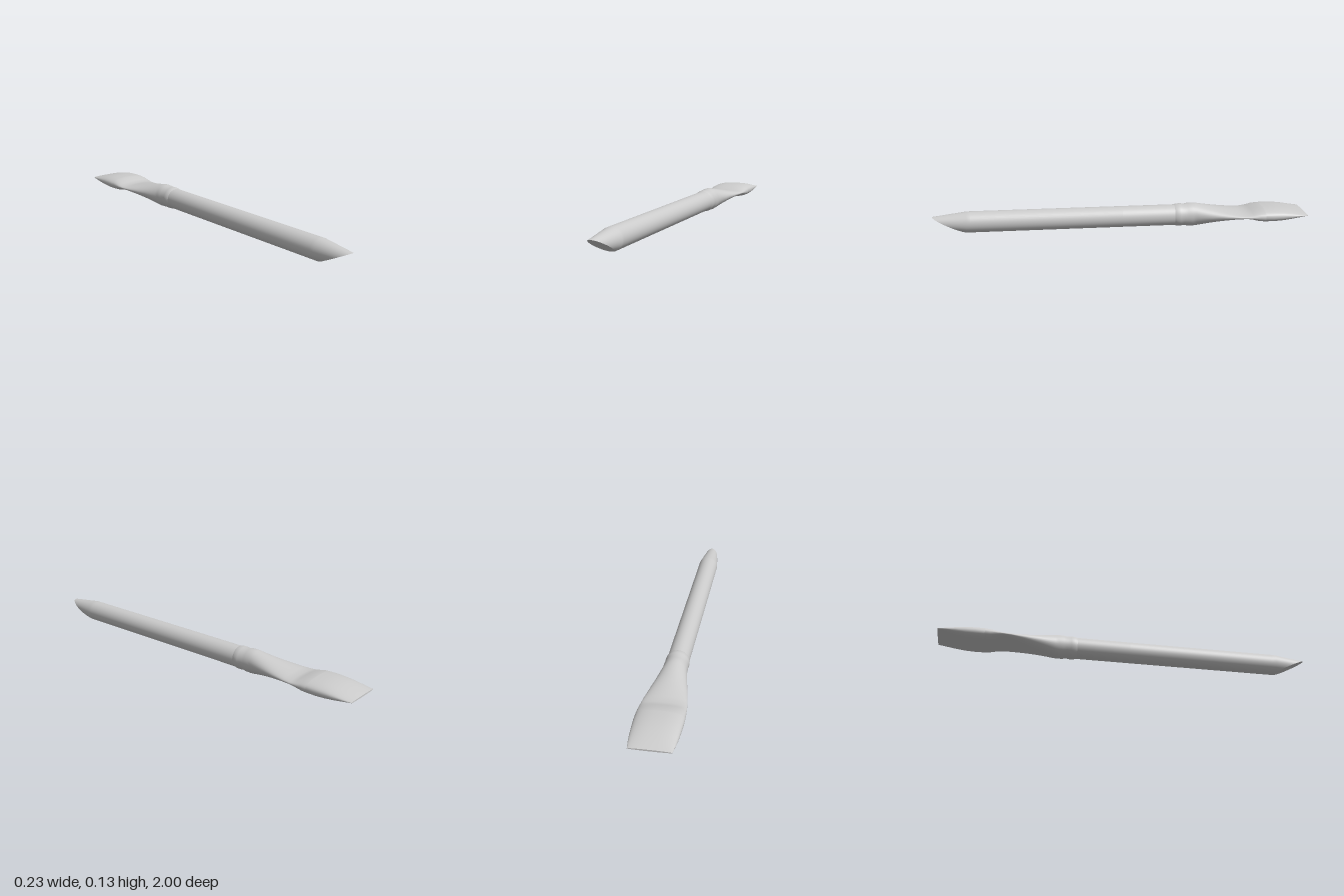
import * as THREE from 'three';

const CY = 0.063;      // height of the brush axis
const SEG = 40;        // points around each section

// Skin over rings of points running from front (+z) to back, with optional crisp end caps
function loft(rings, capFront, capBack) {
  const pos = [], idx = [];
  rings.forEach(r => r.forEach(p => pos.push(...p)));
  for (let i = 0; i < rings.length - 1; i++) {
    for (let j = 0; j < SEG; j++) {
      const k = (j + 1) % SEG;
      const a = i * SEG + j, b = i * SEG + k, c = a + SEG, d = b + SEG;
      idx.push(a, c, b, b, c, d);
    }
  }
  const cap = (ring, flip) => {
    const base = pos.length / 3;
    const mid = [0, 1, 2].map(n => ring.reduce((s, p) => s + p[n], 0) / SEG);
    ring.forEach(p => pos.push(...p));
    pos.push(...mid);
    for (let j = 0; j < SEG; j++) {
      const a = base + j, b = base + (j + 1) % SEG;
      if (flip) idx.push(base + SEG, b, a);
      else idx.push(base + SEG, a, b);
    }
  };
  if (capFront) cap(rings[0], false);
  if (capBack) cap(rings[rings.length - 1], true);
  const g = new THREE.BufferGeometry();
  g.setAttribute('position', new THREE.Float32BufferAttribute(pos, 3));
  g.setIndex(idx);
  g.computeVertexNormals();
  return g;
}

const around = fn => Array.from({ length: SEG }, (_, j) => {
  const a = (j / SEG) * Math.PI * 2;
  return fn(Math.cos(a), Math.sin(a));
});

// Superellipse section: half width w, half height h, exponent n
const section = ([z, w, h, n = 2]) => around((c, s) => [
  w * Math.sign(c) * Math.abs(c) ** (2 / n),
  CY + h * Math.sign(s) * Math.abs(s) ** (2 / n),
  z,
]);

export function createModel() {
  const group = new THREE.Group();
  const mat = new THREE.MeshStandardMaterial({ color: 0xcccccc });
  const add = (name, geo) => {
    const m = new THREE.Mesh(geo, mat);
    m.name = name;
    group.add(m);
  };

  // Handle: round rod whose tapering tip is cut by a slanted plane from below
  const R = 0.056, R1 = 0.033, Z0 = 0.82;
  const tip = around((c, s) => {
    const t = R * (1 + s) / (R + R1 + (R - R1) * s);
    const r = R - (R - R1) * t;
    return [r * c, CY + r * s, Z0 + (1 - Z0) * t];
  });
  add('handle', loft([tip, ...[Z0, 0.8, 0, -0.3].map(z => section([z, R, R]))], true, true));

  // Ferrule: two beads round the handle, then flattening and widening to a pinch
  add('ferrule', loft([
    [-0.28, 0.055, 0.055],
    [-0.295, 0.06, 0.06],
    [-0.315, 0.061, 0.061],
    [-0.335, 0.058, 0.058],
    [-0.355, 0.061, 0.062],
    [-0.38, 0.061, 0.063],
    [-0.4, 0.063, 0.061],
    [-0.48, 0.077, 0.046],
    [-0.56, 0.092, 0.032],
    [-0.63, 0.104, 0.02],
    [-0.67, 0.109, 0.015, 2.2],
    [-0.7, 0.112, 0.022, 2.3],
    [-0.735, 0.114, 0.034, 2.4],
    [-0.765, 0.115, 0.037, 2.4],
  ].map(section), true, false));

  // Bristles: flat swelling tuft that thins to a straight edge
  add('bristles', loft([
    [-0.765, 0.115, 0.037, 2.4],
    [-0.81, 0.115, 0.038, 2.4],
    [-0.86, 0.113, 0.035, 2.4],
    [-0.91, 0.11, 0.027, 2.4],
    [-0.96, 0.105, 0.015, 2.4],
    [-1, 0.099, 0.004, 2.4],
  ].map(section), false, true));

  return group;
}
